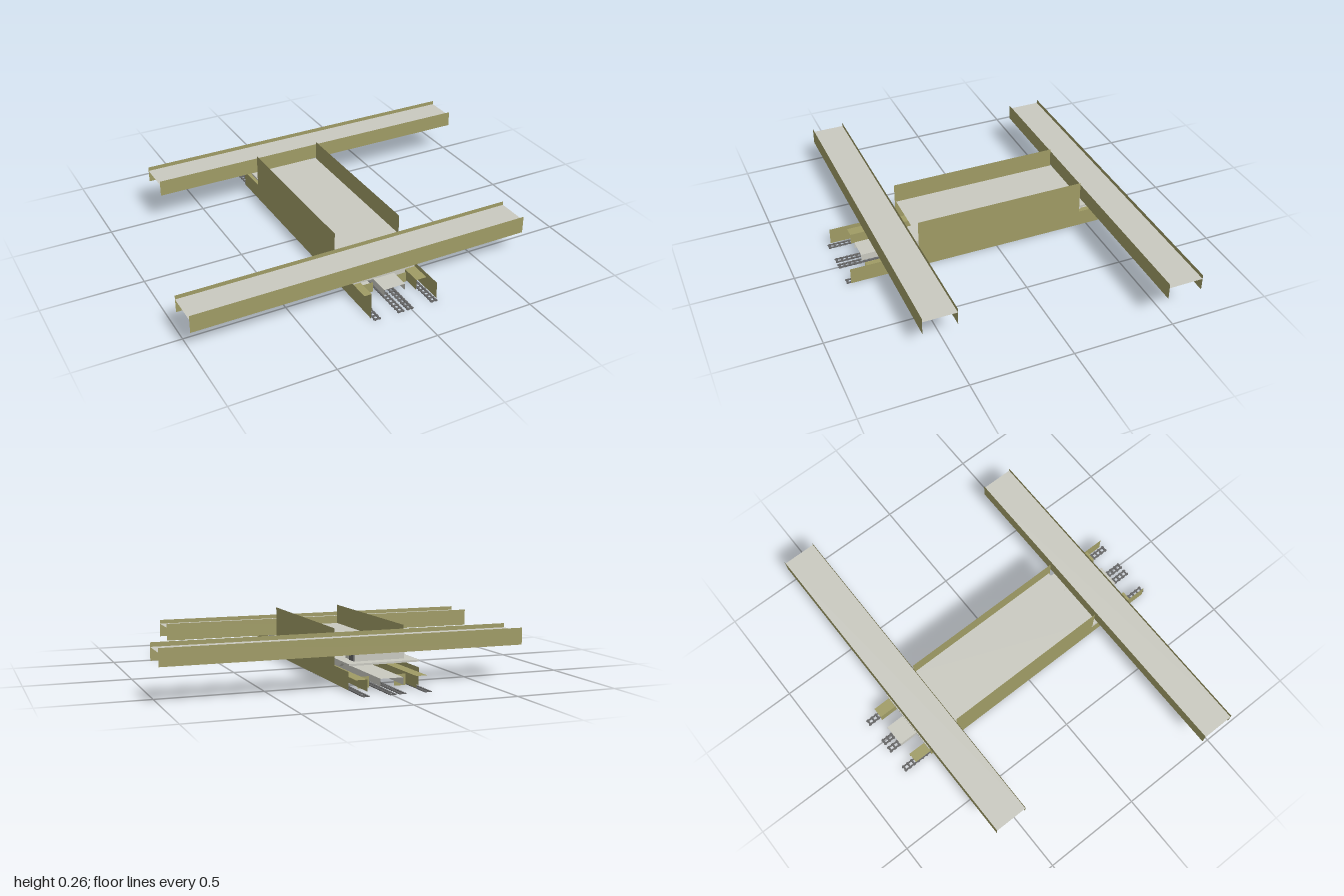
import * as THREE from 'three';

const mat = (name, color) => new THREE.MeshStandardMaterial({ name, color, side: THREE.DoubleSide });

export function createModel() {
  const model = new THREE.Group();
  model.name = 'conveyorFrame';
  const olive = mat('olivePaint', 0x9f9b65);
  const gray = mat('galvanisedGray', 0xc9c9c0);
  const dark = mat('darkSteel', 0x636363);

  function add(parent, name, geometry, m, x, y, z) {
    const mesh = new THREE.Mesh(geometry, m);
    mesh.name = name;
    mesh.position.set(x, y, z);
    parent.add(mesh);
    return mesh;
  }
  // box given by its limits on each axis
  const box = (parent, name, m, x0, x1, y0, y1, z0, z1) =>
    add(parent, name, new THREE.BoxGeometry(x1 - x0, y1 - y0, z1 - z0), m,
      (x0 + x1) / 2, (y0 + y1) / 2, (z0 + z1) / 2);
  // thin sheets: level (at y), facing the front (at z), facing sideways (at x)
  const level = (parent, name, m, x0, x1, z0, z1, y) =>
    add(parent, name, new THREE.PlaneGeometry(x1 - x0, z1 - z0).rotateX(-Math.PI / 2), m,
      (x0 + x1) / 2, y, (z0 + z1) / 2);
  const upright = (parent, name, m, x0, x1, y0, y1, z) =>
    add(parent, name, new THREE.PlaneGeometry(x1 - x0, y1 - y0), m, (x0 + x1) / 2, (y0 + y1) / 2, z);
  const side = (parent, name, m, z0, z1, y0, y1, x) =>
    add(parent, name, new THREE.PlaneGeometry(z1 - z0, y1 - y0).rotateY(Math.PI / 2), m,
      x, (y0 + y1) / 2, (z0 + z1) / 2);

  // stepped side walls: tall in the middle, low at both ends
  const profile = new THREE.Shape([
    [0.76, 0.003], [0.76, 0.086], [0.412, 0.086], [0.412, 0.26],
    [-0.455, 0.26], [-0.455, 0.086], [-0.627, 0.086], [-0.627, 0.003],
  ].map(([z, y]) => new THREE.Vector2(-z, y)));
  const wall = new THREE.ShapeGeometry(profile).rotateY(Math.PI / 2);
  add(model, 'rightWall', wall, olive, -0.2, 0, 0);
  add(model, 'leftWall', wall, olive, 0.146, 0, 0);

  // deck between the walls
  level(model, 'deck', gray, -0.2, 0.146, -0.46, 0.405, 0.16);

  // cross beam: web sheet, two flanges, dark under strips and hat brackets
  function crossBeam(name, x0, x1, z0, z1, y0, y1) {
    const beam = new THREE.Group();
    beam.name = name;
    const web = y1 - 0.02, mid = (z0 + z1) / 2, cx = (x0 + x1) / 2;
    level(beam, 'web', gray, x0, x1, z0, z1, web);
    upright(beam, 'backFlange', olive, x0, x1, y0, y1, z0);
    upright(beam, 'frontFlange', olive, x0, x1, y0, y1, z1);
    level(beam, 'underPlate', dark, cx - 0.66, cx + 0.66, z0 + 0.003, z1 - 0.003, web - 0.003);
    for (const s of [-1, 1]) {
      const a = cx + s * 0.54 - 0.09, b = a + 0.18;
      for (const t of [-1, 1]) {
        const zi = mid + t * 0.025, zo = mid + t * 0.083;
        box(beam, 'bracketFlange', olive, a, b, web - 0.01, web - 0.004, Math.min(zi, zo), Math.max(zi, zo));
        box(beam, 'bracketWeb', olive, a, b, y0 + 0.001, web - 0.004, zi - 0.004, zi + 0.004);
      }
    }
    model.add(beam);
  }
  crossBeam('frontBeam', -1, 0.732, 0.443, 0.611, 0.107, 0.195);
  crossBeam('backBeam', -0.735, 1, -0.63, -0.46, 0.162, 0.243);

  // supports under the front beam
  box(model, 'frontSaddle', gray, -0.2, 0.146, 0.088, 0.105, 0.405, 0.57);
  upright(model, 'frontSaddleFace', gray, -0.2, 0.146, 0.062, 0.09, 0.566);
  box(model, 'frontBlock', gray, -0.06, 0.095, 0.036, 0.088, 0.52, 0.569);
  box(model, 'saddleStep', gray, 0.04, 0.08, 0.105, 0.109, 0.405, 0.44);

  // supports under the back beam
  box(model, 'backSaddle', gray, -0.2, 0.146, 0.113, 0.122, -0.63, -0.455);
  box(model, 'backBlock', gray, -0.15, 0.095, 0.122, 0.158, -0.575, -0.46);
  box(model, 'backPost', dark, -0.06, 0.1, 0.122, 0.165, -0.565, -0.515);
  box(model, 'backPostCap', gray, -0.06, 0.1, 0.165, 0.218, -0.565, -0.515);
  for (const x of [-0.18, 0.12]) {
    const brace = box(model, 'backBrace', gray, x - 0.008, x + 0.008, 0.098, 0.103, -0.515, -0.46);
    brace.rotation.x = 0.5;
  }

  // chain channels along both walls
  for (const [x0, x1, inner] of [[-0.2, -0.147, -0.147], [0.092, 0.146, 0.092]]) {
    level(model, 'channelTop', olive, x0, x1, -0.715, 0.67, 0.064);
    side(model, 'channelWeb', olive, -0.715, 0.67, 0.01, 0.064, inner);
  }
  // middle chain channel
  level(model, 'middleChannelTop', gray, -0.08, 0.03, -0.72, 0.67, 0.064);
  for (const x of [-0.08, 0.03])
    side(model, 'middleChannelSide', gray, -0.72, 0.67, 0.03, 0.064, x);

  // floor strips and end ties between the channels
  for (const [x0, x1] of [[-0.146, -0.088], [0.035, 0.091]]) {
    level(model, 'floorStrip', gray, x0, x1, -0.6, 0.58, 0.032);
    for (const z of [-0.6, 0.58])
      upright(model, 'endTie', olive, x0, x1, 0.003, 0.056, z);
  }

  // ladder-like chains along the bottom
  const link = new THREE.BoxGeometry(0.036, 0.003, 0.01);
  const count = 62;
  for (const x of [-0.176, -0.052, -0.004, 0.124]) {
    const run = new THREE.Group();
    run.name = 'chainRun';
    for (const dx of [-0.011, 0.011])
      box(run, 'chainRail', dark, x + dx - 0.004, x + dx + 0.004, 0, 0.004, -0.78, 0.78);
    for (let i = 0; i < count; i++)
      add(run, 'chainLink', link, dark, x, 0.002, -0.772 + (1.544 * i) / (count - 1));
    model.add(run);
  }
  return model;
}
